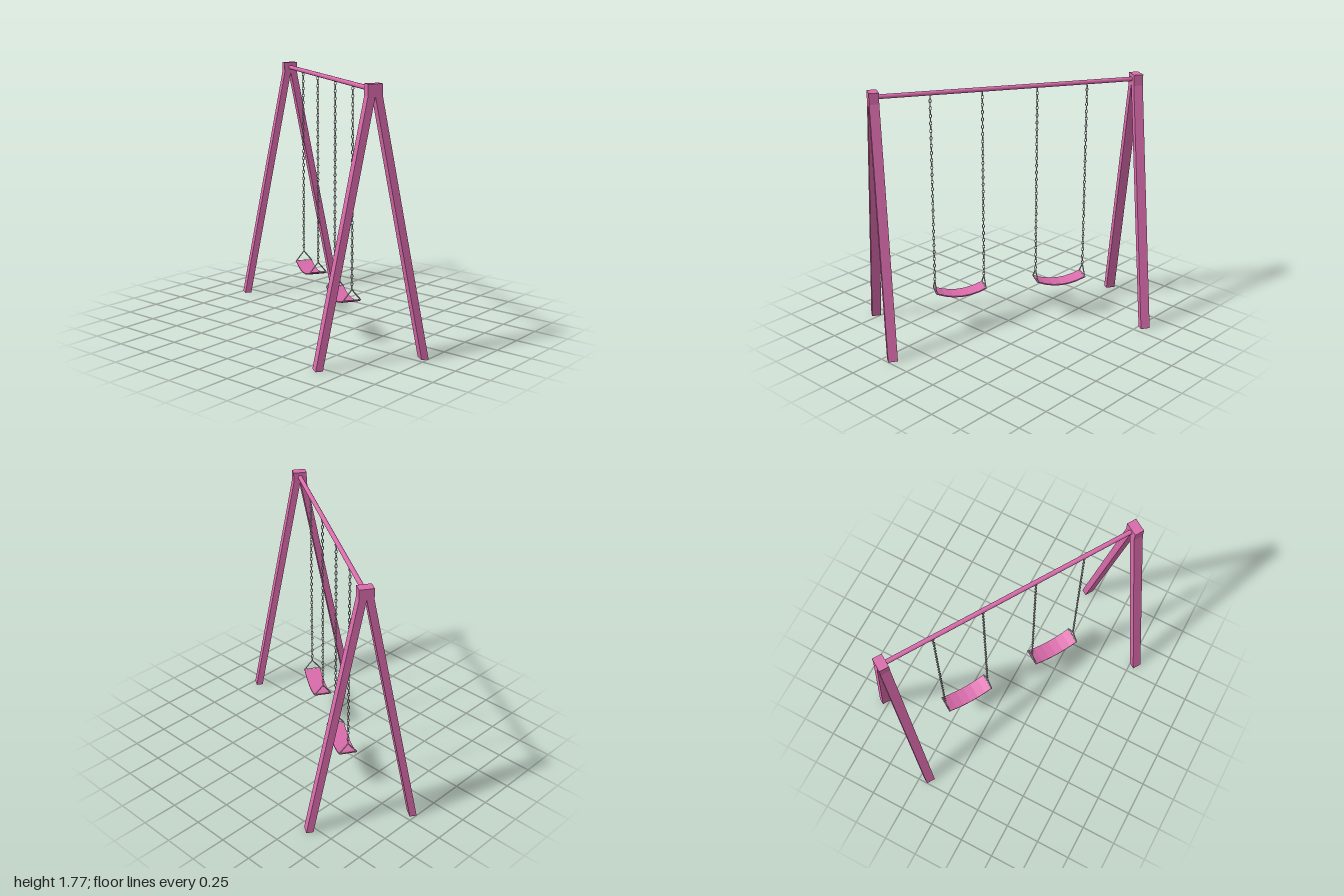
import * as THREE from 'three';
import { mergeGeometries } from 'three/addons/utils/BufferGeometryUtils.js';

const pink = new THREE.MeshStandardMaterial({ color: 0xd96bab });
const pinkFlat = new THREE.MeshStandardMaterial({ color: 0xd96bab, flatShading: true });
const steel = new THREE.MeshStandardMaterial({ color: 0xcccccc });

const BAR_Y = 1.738, FRAME_X = 0.91, FRAME_T = 0.066;
const HOOK_Y = 0.385, SEAT_Y = 0.31, SEAT_W = 0.122, SEAT_HALF = 0.177;

function named(geometry, material, name) {
  const mesh = new THREE.Mesh(geometry, material);
  mesh.name = name;
  return mesh;
}

function rodGeometry(a, b, radius, sides) {
  const dir = b.clone().sub(a);
  const g = new THREE.CylinderGeometry(radius, radius, dir.length(), sides);
  g.applyQuaternion(new THREE.Quaternion().setFromUnitVectors(new THREE.Vector3(0, 1, 0), dir.normalize()));
  const mid = a.clone().add(b).multiplyScalar(0.5);
  return g.translate(mid.x, mid.y, mid.z);
}

// extrude an outline about z = 0
function slab(points, depth) {
  const shape = new THREE.Shape(points.map(([x, y]) => new THREE.Vector2(x, y)));
  return new THREE.ExtrudeGeometry(shape, { depth, bevelEnabled: false }).translate(0, 0, -depth / 2);
}

// A-shaped end frame: two splayed legs joined in a square head
function frameGeometry() {
  const outline = [
    [0.332, 0], [0.38, 0], [0.048, 1.70], [0.048, 1.775],
    [-0.048, 1.775], [-0.048, 1.70], [-0.38, 0], [-0.332, 0], [0, 1.70],
  ];
  return slab(outline, FRAME_T).rotateY(Math.PI / 2);
}

// chain of oval links, each turned a quarter from the last
function chainGeometry() {
  const top = BAR_Y - 0.014, count = 52, pitch = (top - HOOK_Y) / count;
  const links = [];
  for (let i = 0; i < count; i++) {
    const link = new THREE.TorusGeometry(0.0075, 0.0026, 5, 12).scale(1, 1.75, 1);
    if (i % 2) link.rotateY(Math.PI / 2);
    links.push(link.translate(0, HOOK_Y + (i + 0.5) * pitch, 0));
  }
  return mergeGeometries(links);
}

// triangular hanger holding one end of the seat
function hangerGeometry() {
  const w = SEAT_W / 2;
  const p = [[HOOK_Y, 0], [SEAT_Y, w], [SEAT_Y, -w]].map(([y, z]) => new THREE.Vector3(0, y, z));
  const parts = p.map((a, i) => rodGeometry(a, p[(i + 1) % 3], 0.0045, 6));
  p.forEach((a) => parts.push(new THREE.SphereGeometry(0.0045, 6, 4).translate(a.x, a.y, a.z)));
  return mergeGeometries(parts);
}

// sagging sling seat, faceted along its length
function seatGeometry() {
  const n = 6, t = 0.009, half = 0.181, upper = [], lower = [];
  for (let i = 0; i <= n; i++) {
    const u = (i / n) * 2 - 1;
    const y = SEAT_Y - 0.042 * (1 - u * u);
    upper.unshift([u * half, y + t / 2]);
    lower.push([u * half, y - t / 2]);
  }
  return slab([...lower, ...upper], SEAT_W);
}

export function createModel() {
  const model = new THREE.Group();
  model.name = 'swingSet';
  const body = new THREE.Group();
  body.name = 'swingSetBody';
  body.rotation.y = -0.562; // stands diagonally
  model.add(body);

  // end frames
  const frame = frameGeometry();
  for (const [side, name] of [[1, 'leftFrame'], [-1, 'rightFrame']]) {
    const mesh = named(frame, pinkFlat, name);
    mesh.position.x = side * FRAME_X;
    body.add(mesh);
  }

  // crossbar
  const bar = named(new THREE.CylinderGeometry(0.0155, 0.0155, FRAME_X * 2, 16), pink, 'crossbar');
  bar.rotation.z = Math.PI / 2;
  bar.position.y = BAR_Y;
  body.add(bar);

  // two swings
  const chain = chainGeometry(), hanger = hangerGeometry(), seat = seatGeometry();
  for (const [x, name] of [[0.358, 'leftSwing'], [-0.378, 'rightSwing']]) {
    const swing = new THREE.Group();
    swing.name = name;
    swing.position.x = x;
    swing.add(named(seat, pinkFlat, 'seat'));
    for (const s of [1, -1]) {
      const c = named(chain, steel, 'chain');
      const h = named(hanger, steel, 'hanger');
      c.position.x = h.position.x = s * SEAT_HALF;
      swing.add(c, h);
    }
    body.add(swing);
  }
  return model;
}
